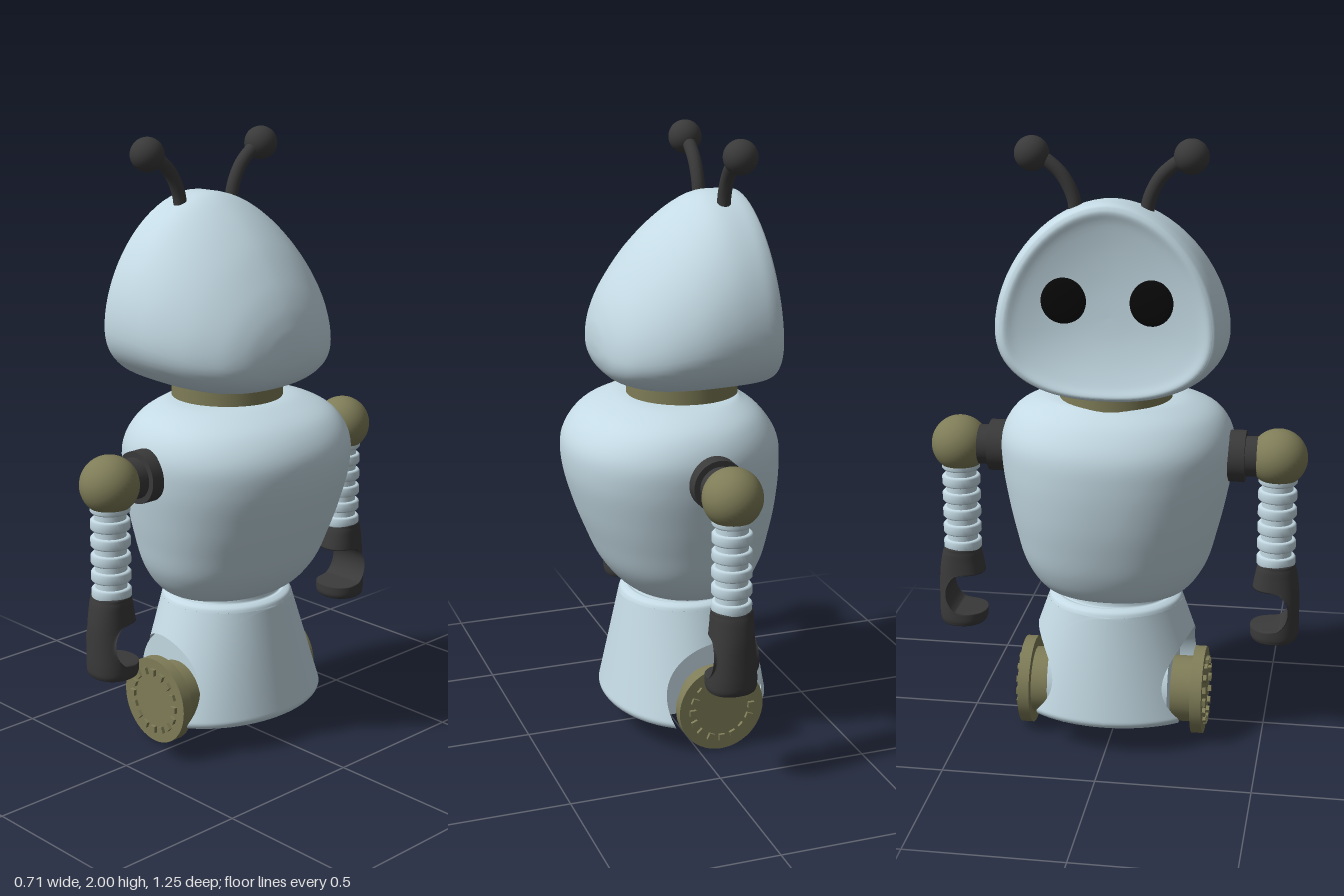
import * as THREE from 'three';

const paint = (color) => new THREE.MeshStandardMaterial({ color, side: THREE.DoubleSide });
const BLUE = paint(0xc4dae4), GOLD = paint(0x7f7d58), DARK = paint(0x3a3a3b), BLACK = paint(0x080808);

function add(parent, name, geometry, material, x = 0, y = 0, z = 0) {
  const mesh = new THREE.Mesh(geometry, material);
  mesh.name = name;
  mesh.position.set(x, y, z);
  parent.add(mesh);
  return mesh;
}

// Surface from a rule fn(u, v) -> [x, y, z]; closed joins the ends of u
function surface(nu, nv, fn, closed = false, flip = false) {
  const pos = [], index = [], cols = closed ? nu : nu + 1;
  for (let j = 0; j <= nv; j++)
    for (let i = 0; i < cols; i++) pos.push(...fn(i / nu, j / nv));
  for (let j = 0; j < nv; j++)
    for (let i = 0; i < nu; i++) {
      const k = (i + 1) % cols;
      const a = j * cols + i, b = j * cols + k, c = b + cols, d = a + cols;
      if (flip) index.push(a, c, b, a, d, c);
      else index.push(a, b, c, a, c, d);
    }
  const g = new THREE.BufferGeometry();
  g.setAttribute('position', new THREE.Float32BufferAttribute(pos, 3));
  g.setIndex(index);
  g.computeVertexNormals();
  return g;
}

// Smooth interpolation through table rows, t from 0 to 1
function sample(rows, t) {
  const f = t * (rows.length - 1), i = Math.min(Math.floor(f), rows.length - 2), w = f - i;
  const at = (k) => rows[Math.max(0, Math.min(rows.length - 1, k))];
  return rows[0].map((_, n) => {
    const [a, b, c, d] = [at(i - 1)[n], at(i)[n], at(i + 1)[n], at(i + 2)[n]];
    return b + 0.5 * w * (c - a + w * (2 * a - 5 * b + 4 * c - d + w * (3 * (b - c) + d - a)));
  });
}

const power = (t, e) => Math.sign(t) * Math.abs(t) ** e;

// Upright loft of rounded sections; rows are [y, xMin, xMax, halfDepth]; limit(x, y) may trim x
const roundLoft = (rows, nv, e = 1, limit = (x) => x) => surface(64, nv, (u, v) => {
  const [y, l, r, z] = sample(rows, v), a = u * Math.PI * 2;
  return [limit((l + r) / 2 + (r - l) / 2 * power(Math.cos(a), e), y), y, -z * power(Math.sin(a), e)];
}, true);

// Egg-shaped section point; the sections lean with the face and straighten to the back
function egg(u, x, top, bottom, w, lean) {
  const a = u * Math.PI * 2, c = Math.cos(a), s = Math.sin(a);
  const mid = bottom + (top - bottom) * 0.35, e = c > 0 ? 2 / 1.85 : 2 / 2.35;
  const y = mid + (c > 0 ? top - mid : mid - bottom) * power(c, e);
  return [x + lean * (y - 1.5), y, w * power(s, e)];
}

function buildHead() {
  const head = new THREE.Group();
  head.name = 'head';
  // rows: x, top, bottom, half width, lean
  const shell = [
    [-0.258, 1.795, 1.205, 0.33, 0.067], [-0.247, 1.807, 1.196, 0.344, 0.065], [-0.2, 1.812, 1.19, 0.362, 0.05],
    [-0.1, 1.805, 1.187, 0.371, 0.02], [0, 1.752, 1.187, 0.359, 0], [0.1, 1.663, 1.193, 0.317, 0],
    [0.18, 1.562, 1.213, 0.252, 0], [0.224, 1.487, 1.242, 0.186, 0], [0.247, 1.425, 1.283, 0.112, 0],
    [0.255, 1.385, 1.322, 0.05, 0], [0.257, 1.35, 1.35, 0, 0],
  ];
  add(head, 'headShell', surface(72, 60, (u, v) => egg(u, ...sample(shell, v)), true), BLUE);
  // shallow dished face: rows of scale, x
  const dish = [[0, -0.215], [0.3, -0.218], [0.6, -0.229], [0.85, -0.246], [0.96, -0.259], [1, -0.258]];
  add(head, 'face', surface(72, 20, (u, v) => {
    const [k, x] = sample(dish, v);
    return egg(u, x, 1.45 + 0.345 * k, 1.45 - 0.245 * k, 0.33 * k, 0.067);
  }, true), BLUE);
  for (const s of [1, -1]) {
    const eye = add(head, 'eye', new THREE.SphereGeometry(0.073, 32, 20), BLACK, -0.225, 1.505, s * 0.136);
    eye.scale.x = 0.22;
    eye.rotation.set(0, -s * 0.2, -0.07);
    // antennas
    const curve = new THREE.CatmullRomCurve3([[1.74, 0.11], [1.81, 0.118], [1.88, 0.152], [1.925, 0.2], [1.95, 0.245]]
      .map(([y, z]) => new THREE.Vector3(-0.144, y, s * z)));
    add(head, 'antennaStalk', new THREE.TubeGeometry(curve, 24, 0.022, 12), DARK);
    add(head, 'antennaBall', new THREE.SphereGeometry(0.055, 28, 18), DARK, -0.145, 1.947, s * 0.248);
  }
  return head;
}

// Flared base with a round wheel well cut into each side
function buildBase() {
  const base = new THREE.Group();
  base.name = 'base';
  const Y0 = 0.096, Y1 = 0.465, CX = -0.08, CY = 0.18, R = 0.18, WALL = 0.2;
  const mix = THREE.MathUtils.lerp;
  // centre, half length and half width at a height, eased in at the bottom edge
  const dims = (y) => {
    const k = (y - Y0) / (Y1 - Y0), ease = 0.012 * Math.max(0, 1 - k / 0.06) ** 2;
    return [mix(-0.045, -0.05, k), mix(0.279, 0.215, k) - ease, mix(0.355, 0.225, k) - ease];
  };
  const depth = (x, y) => {
    const [c, a, z] = dims(y);
    return z * Math.sqrt(Math.max(0, 1 - ((x - c) / a) ** 2));
  };
  const low = Math.asin((Y0 - CY) / R);
  const rim = (u) => {
    const a = mix(low, Math.PI - low, u);
    return [CX + R * Math.cos(a), CY + R * Math.sin(a)];
  };
  const outline = (u) => {
    const y = Y0 + (Y1 - Y0) * Math.min(1, u / 0.35, (1 - u) / 0.35);
    const [c, a] = dims(y);
    return [c + a * Math.max(-1, Math.min(1, (0.5 - u) / 0.15)), y];
  };
  for (const s of [1, -1]) {
    add(base, 'baseSide', surface(200, 28, (u, v) => {
      const p = rim(u), q = outline(u), k = Math.sin(v * Math.PI / 2);
      const x = mix(p[0], q[0], k), y = mix(p[1], q[1], k);
      return [x, y, s * depth(x, y)];
    }, false, s > 0), BLUE);
    add(base, 'wheelWellRim', surface(200, 1, (u, v) => {
      const [x, y] = rim(u);
      return [x, y, s * mix(WALL, depth(x, y), v)];
    }, false, s > 0), BLUE);
    add(base, 'wheelWellWall', surface(100, 1, (u, v) => {
      const [x, y] = rim(u);
      return [mix(CX, x, v), mix(Y0, y, v), s * WALL];
    }, false, s > 0), BLUE);
  }
  // underside, notched at the wells
  const pts = [], N = 240, half = Math.sqrt(R * R - (Y0 - CY) ** 2), [c0, a0] = dims(Y0);
  for (let i = 0; i < N; i++) {
    const a = i / N * Math.PI * 2, x = c0 + a0 * Math.cos(a);
    const z = Math.min(depth(x, Y0), Math.abs(x - CX) < half ? WALL : 1);
    pts.push(new THREE.Vector2(x, Math.sign(Math.sin(a)) * z));
  }
  add(base, 'underside', new THREE.ShapeGeometry(new THREE.Shape(pts)).rotateX(Math.PI / 2), BLUE, 0, Y0, 0);
  // rounded shoulder and waist
  add(base, 'waist', roundLoft([[0.465, -0.265, 0.165, 0.225], [0.478, -0.258, 0.158, 0.218],
    [0.486, -0.24, 0.14, 0.2], [0.488, -0.222, 0.125, 0.185], [0.55, -0.222, 0.125, 0.185]], 20), BLUE);
  return base;
}

function buildWheel() {
  const wheel = new THREE.Group();
  wheel.name = 'wheel';
  const disc = (name, r, z0, z1) =>
    add(wheel, name, new THREE.CylinderGeometry(r, r, z1 - z0, 48).rotateX(Math.PI / 2), GOLD, 0, 0, (z0 + z1) / 2);
  disc('wheelHub', 0.11, 0.195, 0.275);
  disc('wheelDisc', 0.146, 0.27, 0.308);
  for (let i = 0; i < 16; i++) {
    const a = i / 16 * Math.PI * 2;
    add(wheel, 'wheelStud', new THREE.BoxGeometry(0.022, 0.02, 0.02), GOLD,
      0.102 * Math.cos(a), 0.102 * Math.sin(a), 0.309).rotation.z = a;
  }
  return wheel;
}

function buildArm() {
  const arm = new THREE.Group();
  arm.name = 'arm';
  const Z = 0.53;
  add(arm, 'shoulderFlange', new THREE.CylinderGeometry(0.085, 0.085, 0.1, 40).rotateX(Math.PI / 2), DARK, 0, 0.96, 0.374);
  add(arm, 'shoulderAxle', new THREE.CylinderGeometry(0.066, 0.066, 0.1, 40).rotateX(Math.PI / 2), DARK, 0, 0.96, 0.44);
  add(arm, 'shoulderBall', new THREE.SphereGeometry(0.095, 40, 28), GOLD, 0, 0.96, Z);
  // sleeve with soft ribs
  add(arm, 'armCore', new THREE.CylinderGeometry(0.051, 0.051, 0.36, 32), BLUE, 0, 0.75, Z);
  const rib = [[0.048, -0.018], [0.059, -0.018], [0.064, -0.012], [0.064, 0.012], [0.059, 0.018], [0.048, 0.018]]
    .map(([r, y]) => new THREE.Vector2(r, y));
  for (let i = 0; i < 6; i++)
    add(arm, 'armRib', new THREE.LatheGeometry(rib, 32), BLUE, 0, 0.608 + i * 0.0565, Z);
  // rounded claw with a round bite on the inner side
  const claw = roundLoft([
    [0.327, 0.53, 0.531, 0.001], [0.327, 0.47, 0.592, 0.066], [0.338, 0.453, 0.608, 0.079], [0.37, 0.45, 0.612, 0.081],
    [0.43, 0.45, 0.612, 0.077], [0.5, 0.454, 0.61, 0.071], [0.55, 0.462, 0.604, 0.068], [0.585, 0.47, 0.596, 0.066],
    [0.602, 0.482, 0.584, 0.058], [0.604, 0.53, 0.531, 0.001],
  ], 108, 0.9, (x, y) => {
    const d = Math.abs(y - 0.443);
    return d < 0.066 ? Math.max(x, 0.5 + Math.sqrt(0.078 ** 2 - d * d)) : x;
  });
  add(arm, 'claw', claw.rotateY(-Math.PI / 2), DARK);
  return arm;
}

export function createModel() {
  const robot = new THREE.Group();
  robot.name = 'robot';
  robot.add(buildHead(), buildBase());
  add(robot, 'neck', new THREE.CylinderGeometry(0.183, 0.183, 0.07, 56), GOLD, -0.046, 1.175, 0);
  add(robot, 'torso', roundLoft([
    [0.5, -0.05, -0.04, 0.005], [0.5, -0.205, 0.11, 0.195], [0.523, -0.258, 0.168, 0.252], [0.6, -0.3, 0.232, 0.304],
    [0.7, -0.327, 0.278, 0.334], [0.8, -0.345, 0.316, 0.358], [0.92, -0.354, 0.348, 0.38], [1.02, -0.345, 0.345, 0.381],
    [1.1, -0.295, 0.287, 0.338], [1.145, -0.235, 0.19, 0.255], [1.158, -0.2, 0.11, 0.16], [1.158, -0.05, -0.04, 0.005],
  ], 66, 0.94), BLUE);
  // arms and wheels are turned half round for the other side
  for (const turn of [0, Math.PI]) {
    const arm = buildArm(), wheel = buildWheel();
    arm.position.x = -0.02;
    wheel.position.set(-0.077, 0.146, 0);
    arm.rotation.y = wheel.rotation.y = turn;
    robot.add(arm, wheel);
  }
  return robot;
}
